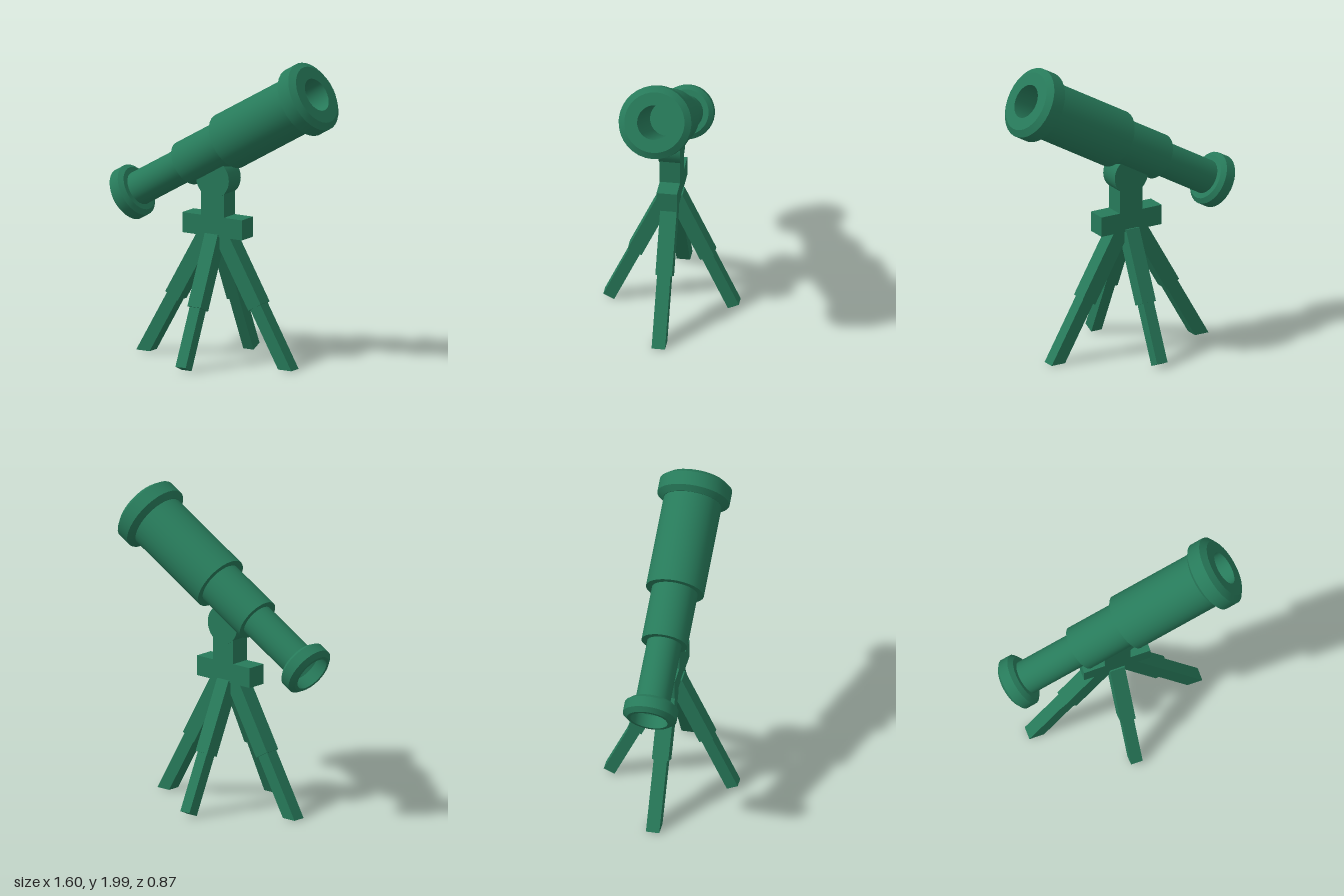
import * as THREE from 'three';
import { toCreasedNormals } from 'three/addons/utils/BufferGeometryUtils.js';

export function createModel() {
  const model = new THREE.Group();
  model.name = 'telescope';
  const green = new THREE.MeshStandardMaterial({ color: 0x277a5a });
  green.name = 'green';

  function add(parent, name, geometry, x = 0, y = 0, z = 0) {
    const mesh = new THREE.Mesh(geometry, green);
    mesh.name = name;
    mesh.position.set(x, y, z);
    parent.add(mesh);
    return mesh;
  }

  // Optical tube: turned parts, profiles as [radius, distance along the axis from the front]
  const tube = new THREE.Group();
  tube.name = 'opticalTube';
  tube.position.set(0.678, 1.795, 0);
  tube.rotation.z = -Math.PI / 3;
  model.add(tube);

  function turned(name, profile) {
    const points = profile.map(([r, s]) => new THREE.Vector2(r, s));
    add(tube, name, toCreasedNormals(new THREE.LatheGeometry(points, 32), 0.5));
  }
  turned('frontRing', [
    [0.11, -0.12], [0.19, -0.12], [0.232, -0.092], [0.232, 0], [0.192, 0.03], [0.11, 0.03], [0.11, -0.12],
  ]);
  turned('mainBarrel', [
    [0, -0.73], [0.186, -0.73], [0.186, -0.11], [0.11, -0.11], [0.11, -0.6], [0, -0.6],
  ]);
  turned('middleBarrel', [[0, -1.092], [0.147, -1.092], [0.147, -0.72], [0, -0.72]]);
  turned('narrowBarrel', [
    [0, -1.2], [0.098, -1.2], [0.098, -1.52], [0.11, -1.52], [0.11, -1.08], [0, -1.08],
  ]);
  turned('eyepieceRing', [
    [0.098, -1.505], [0.12, -1.54], [0.12, -1.625], [0.14, -1.625], [0.173, -1.6],
    [0.173, -1.53], [0.145, -1.505], [0.098, -1.505],
  ]);

  // Mount: pivot disc, neck and cross plate
  const centerX = -0.038;
  const disc = new THREE.CylinderGeometry(0.123, 0.123, 0.14, 32);
  disc.rotateX(Math.PI / 2);
  add(model, 'pivotDisc', toCreasedNormals(disc, 0.5), -0.033, 1.187, 0);
  add(model, 'neck', new THREE.BoxGeometry(0.17, 0.26, 0.13), -0.035, 1.07, 0);
  add(model, 'crossPlate', new THREE.BoxGeometry(0.445, 0.13, 0.13), centerX, 0.88, 0);

  // Square strut from y = top down to y = bottom, with ends optionally cut level
  function strut(width, top, bottom, tilt, cutTop, cutBottom) {
    const geometry = new THREE.BoxGeometry(width, top - bottom, width);
    geometry.translate(0, (top + bottom) / 2, 0);
    const p = geometry.attributes.position;
    const middle = (top + bottom) / 2;
    for (let i = 0; i < p.count; i++) {
      const y = p.getY(i);
      if (y > middle ? cutTop : cutBottom) p.setY(i, y - p.getX(i) * Math.tan(tilt));
    }
    geometry.computeVertexNormals();
    return geometry;
  }

  // Four telescoping legs; the side pair splays wider and has level feet
  for (let i = 0; i < 4; i++) {
    const side = i % 2 === 0;
    const tilt = THREE.MathUtils.degToRad(side ? 30 : 25);
    const joint = side ? -0.51 : -0.5;
    const foot = side ? -0.95 : -0.894;
    const turn = new THREE.Group();
    turn.name = ['leftLeg', 'backLeg', 'rightLeg', 'frontLeg'][i];
    turn.position.set(centerX - 0.002, 0.83, 0);
    turn.rotation.y = i * Math.PI / 2;
    const leg = new THREE.Group();
    leg.name = 'splayedLeg';
    leg.position.x = side ? 0.056 : 0.02;
    leg.rotation.z = tilt;
    add(leg, 'upperLeg', strut(side ? 0.106 : 0.098, 0, joint, tilt, true, false));
    add(leg, 'lowerLeg', strut(side ? 0.086 : 0.077, joint + 0.05, foot, tilt, false, side));
    turn.add(leg);
    model.add(turn);
  }

  return model;
}
